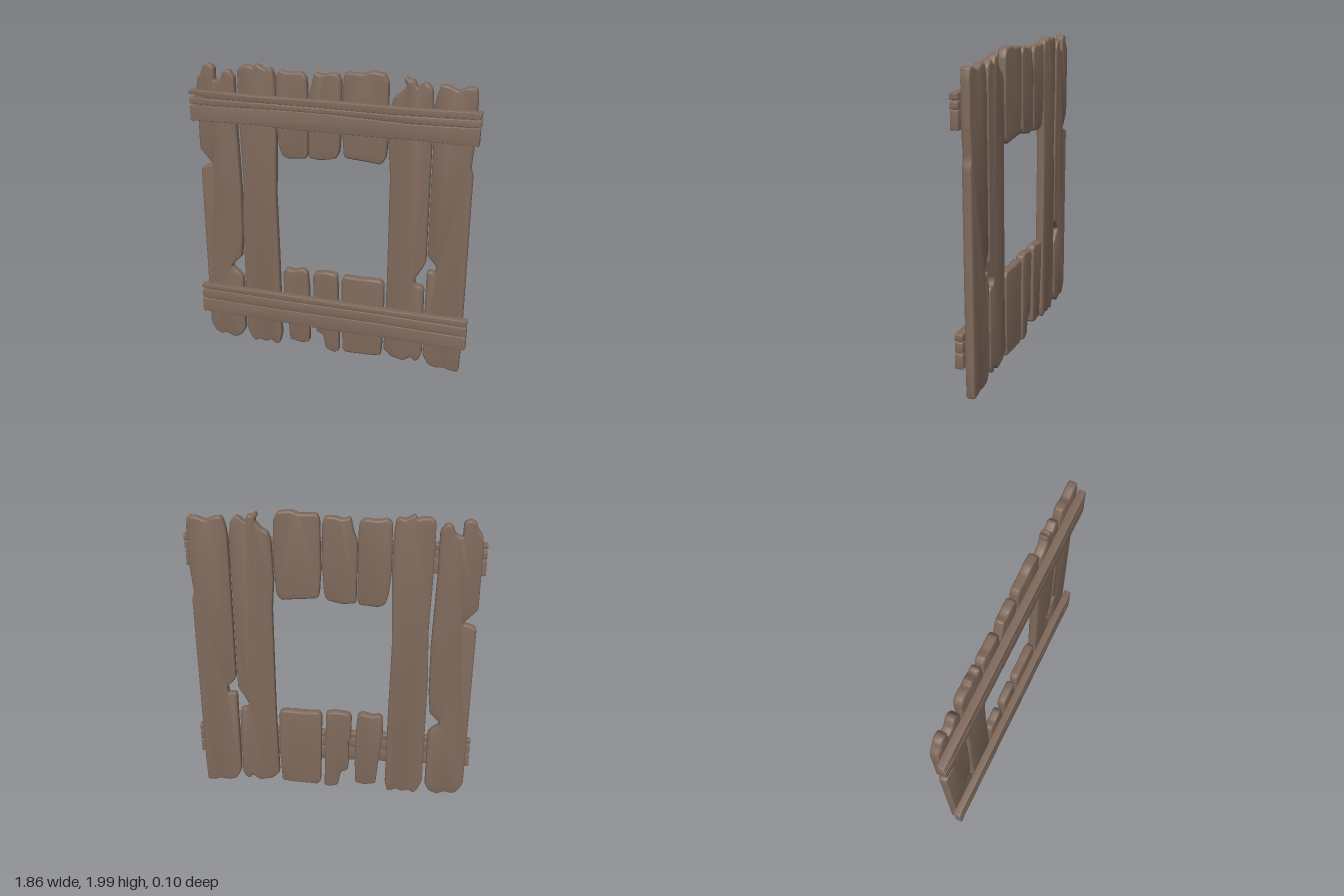
import * as THREE from 'three';
import { toCreasedNormals } from 'three/addons/utils/BufferGeometryUtils.js';

const wood = new THREE.MeshStandardMaterial({ color: 0x806a5c });
wood.name = 'weathered wood';

// Closed outline from x,y pairs in hundredths, with every corner slightly rounded
function outline(flat, radius) {
  const pts = [];
  for (let i = 0; i < flat.length; i += 2) pts.push(new THREE.Vector2(flat[i] / 100, flat[i + 1] / 100));
  if (THREE.ShapeUtils.isClockWise(pts)) pts.reverse();
  const shape = new THREE.Shape();
  pts.forEach((p, i) => {
    const toward = (q) => {
      const d = p.distanceTo(q);
      return p.clone().lerp(q, Math.min(radius, d * 0.4) / d);
    };
    const a = toward(pts[(i + pts.length - 1) % pts.length]);
    const b = toward(pts[(i + 1) % pts.length]);
    if (i === 0) shape.moveTo(a.x, a.y);
    else shape.lineTo(a.x, a.y);
    shape.quadraticCurveTo(p.x, p.y, b.x, b.y);
  });
  shape.closePath();
  return shape;
}

// Board cut from an outline between two depths, with eased edges
function board(name, flat, z0, z1, bevel, radius) {
  const geo = new THREE.ExtrudeGeometry(outline(flat, radius), {
    depth: z1 - z0 - 2 * bevel, bevelEnabled: true, bevelThickness: bevel,
    bevelSize: bevel, bevelOffset: -bevel, bevelSegments: 3, curveSegments: 3,
  });
  geo.translate(0, 0, z0 + bevel);
  const mesh = new THREE.Mesh(toCreasedNormals(geo, 0.75), wood);
  mesh.name = name;
  return mesh;
}

// Upright planks: splintered ends and broken notches
const planks = {
  outerPlankRight: [-90, 10, -86, 3, -82, 1.5, -79, 3, -72, 0.5, -67, 3, -64, 8, -64, 49, -66, 52, -72, 57, -67, 63,
    -64.5, 65, -63, 80, -62.5, 113, -64, 162, -64, 190, -67, 194.5, -70, 195, -72, 192, -73, 189, -77.5, 187,
    -77.5, 196, -81, 198, -85, 196.5, -86, 192, -89, 189, -90, 182, -90, 141, -81, 131, -86, 130, -90, 128],
  innerPlankRight: [-62, 10, -60, 5, -57, 0, -52, 2.5, -49, 0.5, -44, 3, -41, 0.5, -38, 1, -36.5, 8, -37, 60, -38, 113,
    -37, 145, -36.5, 162, -36.8, 188, -38, 196, -40, 198, -43, 196.5, -47, 199, -49, 199.8, -50.5, 197, -54, 198.5,
    -59, 198, -61.5, 195, -61.5, 160, -60.5, 123, -62, 92],
  innerPlankLeft: [37, 10, 42, 5, 47, 4, 51, 3, 56, 7, 58, 4, 61, 5, 63, 10, 62.5, 59, 60.5, 61.5, 57.5, 61, 56, 65,
    63, 78, 63, 180, 62, 192, 58, 196, 55, 194, 53, 192, 51, 197, 49, 196, 46, 198.5, 45, 196, 47, 193, 43, 188,
    39, 186, 37.5, 180, 36.5, 155, 38, 135, 38, 60],
  outerPlankLeft: [64, 10, 68, 3, 74, 1.5, 79, 2.5, 83, 1, 88.5, 1, 89, 18, 89, 140, 87.5, 145, 89, 162, 89, 188,
    88, 194.5, 83, 194.5, 77, 192, 72, 194.5, 67, 195, 65, 189, 64, 182, 64, 84, 70, 77, 69.5, 72, 66, 73, 64, 72],
  upperPlank1: [-36.2, 162, -35, 149, -33, 142, -29, 140, -17, 141, -15.7, 144, -15.7, 182, -16, 193, -19, 196.5,
    -28, 195.5, -33, 197, -36, 194],
  upperPlank2: [-15, 142, -7, 141, 3, 143, 5, 147, 6, 162, 6, 193, 4, 197, -2, 197, -6, 195.5, -11, 197, -13, 188, -15.3, 181],
  upperPlank3: [8, 146, 10, 144, 23, 143, 32, 142, 35, 146, 36, 162, 35.5, 194, 33, 199, 25, 200, 20, 198, 9, 198.5,
    7.5, 195, 7, 162],
  lowerPlank1: [-34, 58, -32, 61, -27, 60, -20, 62, -17, 60, -16, 48, -15.5, 22, -16, 6, -22, 4.5, -30, 6, -31.5, 22, -34, 45],
  lowerPlank2: [-13, 58, -11, 61, -2, 62, 4, 61, 4.5, 44, 5, 22, 5.5, 2, 1, 1, -4, 3, -6, 14, -10.5, 15.5, -11.5, 22,
    -11, 38, -12.5, 42],
  lowerPlank3: [7, 58, 9, 61, 20, 60.5, 25, 61, 34, 61, 36, 58, 36, 22, 35, 4, 25, 3, 10, 2.5, 8, 5],
};

// Cross rails: split strips in front of a recessed core
const rails = {
  upperRail: {
    strips: [
      [-93, 181.5, -50, 180.5, 0, 181, 50, 180.5, 92.5, 181.5, 92.5, 177.5, 40, 176.2, -10, 176.8, -80, 177, -86, 178.5, -93, 179],
      [-93, 176.5, -85, 176.3, -10, 176.4, 40, 175.8, 92.5, 176.7, 92.5, 172.5, 50, 171.5, 0, 173.2, -40, 173, -93, 172.5],
      [-93, 171.2, -60, 171.8, -25, 173, 0, 172.8, 50, 171, 92, 172, 92, 161, 50, 161.5, 0, 161, -50, 162, -93, 161.5],
    ],
    core: [-89, 180, 90, 180, 90, 162.5, -89, 163],
  },
  lowerRail: {
    strips: [
      [-93, 42.5, -30, 43, 30, 42.5, 92.5, 43, 92.5, 39, 30, 39.3, -20, 39, -84, 39.3, -93, 40],
      [-93, 37.8, -84, 39, -20, 38.6, 30, 38.9, 92.5, 38, 92.5, 31.8, 30, 32.2, -40, 31.6, -93, 32.8],
      [-93, 31.5, -40, 31.1, 30, 31.8, 92.5, 30.8, 92.5, 21.5, 40, 22, 0, 21, -50, 22, -93, 21.5],
    ],
    core: [-89, 41.5, 90, 41.5, 90, 23, -89, 23],
  },
};

export function createModel() {
  const model = new THREE.Group();
  model.name = 'boardedWindowFrame';

  for (const [name, flat] of Object.entries(planks)) {
    model.add(board(name, flat, -0.053, 0.003, 0.012, 0.015));
  }

  for (const [name, { strips, core }] of Object.entries(rails)) {
    const rail = new THREE.Group();
    rail.name = name;
    strips.forEach((flat, i) => rail.add(board(name + 'Strip' + (i + 1), flat, 0.002, 0.05 - 0.001 * (i % 2), 0.003, 0.006)));
    rail.add(board(name + 'Core', core, 0.003, 0.044, 0.003, 0.004));
    model.add(rail);
  }
  return model;
}
